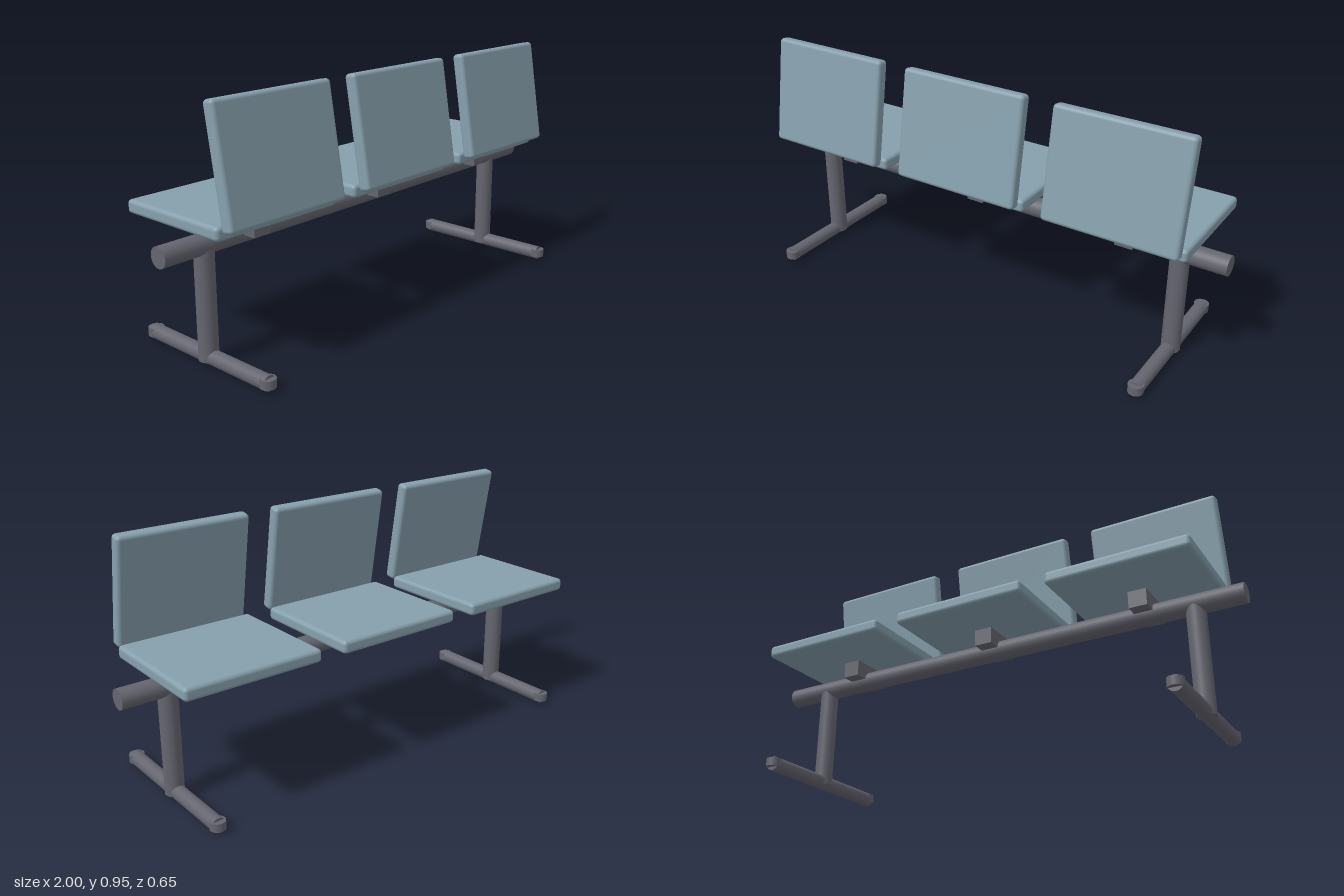
import * as THREE from 'three';
import { RoundedBoxGeometry } from 'three/addons/geometries/RoundedBoxGeometry.js';

export function createModel() {
  const model = new THREE.Group();
  model.name = 'beamSeating';
  const upholstery = new THREE.MeshStandardMaterial({ name: 'blueGreyPad', color: 0x86a0ad });
  const metal = new THREE.MeshStandardMaterial({ name: 'darkGreyMetal', color: 0x656570 });

  const add = (parent, name, geometry, material, x, y, z) => {
    const mesh = new THREE.Mesh(geometry, material);
    mesh.name = name;
    mesh.position.set(x, y, z);
    parent.add(mesh);
    return mesh;
  };
  const tube = (radius, length) => new THREE.CylinderGeometry(radius, radius, length, 32);

  // Horizontal beam carrying the seats
  add(model, 'beam', tube(0.038, 2), metal, 0, 0.435, 0).rotation.z = Math.PI / 2;

  // Three seats, each with a bracket, a pad and a tilted backrest
  const bracket = new THREE.BoxGeometry(0.07, 0.07, 0.18);
  const pad = new RoundedBoxGeometry(0.54, 0.05, 0.476, 4, 0.015);
  const back = new RoundedBoxGeometry(0.522, 0.425, 0.05, 4, 0.015);
  for (const x of [-0.636, 0, 0.636]) {
    const seat = new THREE.Group();
    seat.name = 'seat';
    seat.position.x = x;
    add(seat, 'bracket', bracket, metal, 0, 0.47, 0);
    add(seat, 'seatPad', pad, upholstery, 0, 0.525, -0.057);
    add(seat, 'backrest', back, upholstery, 0, 0.741, 0.182).rotation.x = THREE.MathUtils.degToRad(-9.5);
    model.add(seat);
  }

  // Two T-shaped legs with round feet
  const post = tube(0.036, 0.42);
  const foot = tube(0.028, 0.61);
  const cap = tube(0.029, 0.032);
  for (const side of [-1, 1]) {
    const leg = new THREE.Group();
    leg.name = side > 0 ? 'leftLeg' : 'rightLeg';
    leg.position.x = side * 0.817;
    add(leg, 'post', post, metal, 0, 0.225, 0);
    add(leg, 'foot', foot, metal, 0, 0.028, 0).rotation.x = Math.PI / 2;
    for (const end of [-1, 1]) add(leg, 'footCap', cap, metal, 0, 0.03, end * 0.298);
    model.add(leg);
  }
  return model;
}
